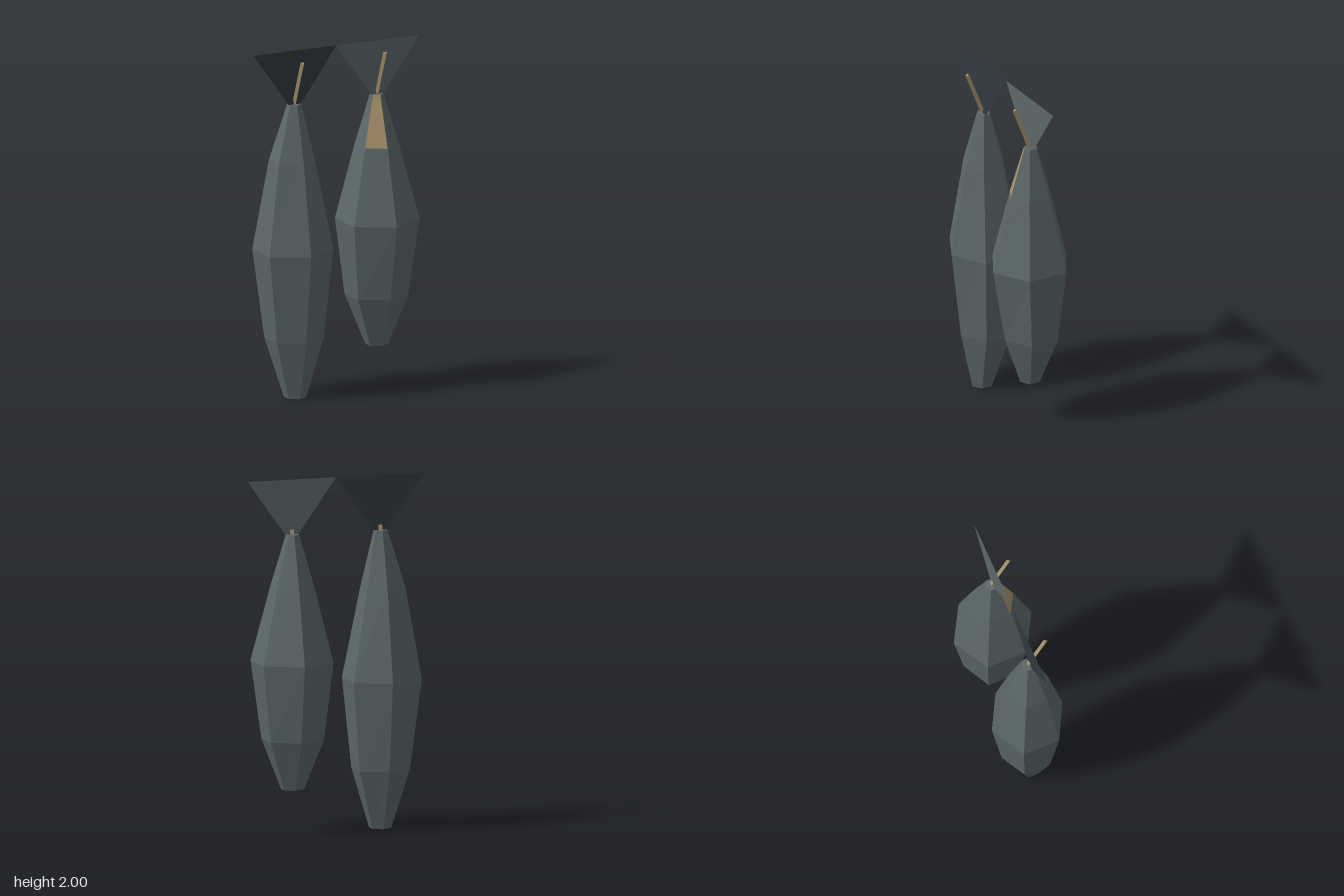
import * as THREE from 'three';

const slate = new THREE.MeshStandardMaterial({ color: 0x5c686a, flatShading: true });
slate.name = 'slate';
const tan = new THREE.MeshStandardMaterial({ color: 0xa89167, flatShading: true });
tan.name = 'tan';
const slateFin = new THREE.MeshStandardMaterial({ color: 0x5c686a, side: THREE.DoubleSide });
slateFin.name = 'slate fin';
const navyFin = new THREE.MeshStandardMaterial({ color: 0x313942, side: THREE.DoubleSide });
navyFin.name = 'dark navy fin';

// Hexagon with one corner forward; ring = [y, xLeft, xRight, zBack, zFront]
function hexRing([y, x0, x1, zb, zf], cx) {
  const cz = (zb + zf) / 2, q = (zf - zb) / 4;
  return [
    [cx, y, zf], [x1, y, cz + q], [x1, y, cz - q],
    [cx, y, zb], [x0, y, cz - q], [x0, y, cz + q],
  ];
}

// Faceted pod through the rings, bottom to top, with an optional coloured panel
function makePod(rings, cx, name, patchPanel = false) {
  const loops = rings.map((r) => hexRing(r, cx));
  const main = [], patch = [];
  for (let r = 0; r < loops.length - 1; r++) {
    for (let i = 0; i < 6; i++) {
      const j = (i + 1) % 6, a = loops[r], b = loops[r + 1];
      const isPatch = patchPanel && r === loops.length - 2 && i === 5;
      (isPatch ? patch : main).push(a[i], a[j], b[j], a[i], b[j], b[i]);
    }
  }
  const bottom = loops[0], top = loops[loops.length - 1];
  for (let i = 1; i < 5; i++) {
    main.push(top[0], top[i], top[i + 1], bottom[0], bottom[i + 1], bottom[i]);
  }
  const geometry = new THREE.BufferGeometry();
  geometry.setAttribute('position', new THREE.Float32BufferAttribute([...main, ...patch].flat(), 3));
  geometry.addGroup(0, main.length, 0);
  if (patch.length) geometry.addGroup(main.length, patch.length, 1);
  geometry.computeVertexNormals();
  const mesh = new THREE.Mesh(geometry, [slate, tan]);
  mesh.name = name;
  return mesh;
}

// Thin fan-shaped fin standing on the pod's top
function makeFin(cx, material, name) {
  const shape = new THREE.Shape([[-0.04, 1.69], [0.04, 1.69], [0.26, 2], [-0.26, 2]]
    .map(([x, y]) => new THREE.Vector2(cx + x, y)));
  const mesh = new THREE.Mesh(new THREE.ShapeGeometry(shape), material);
  mesh.name = name;
  return mesh;
}

// Three-sided stem leaning forward from the pod's top
function makeStem(cx, name) {
  const from = new THREE.Vector3(cx, 1.685, -0.006), to = new THREE.Vector3(cx, 1.95, 0.098);
  const dir = to.clone().sub(from);
  const mesh = new THREE.Mesh(new THREE.CylinderGeometry(0.013, 0.013, dir.length(), 3), tan);
  mesh.position.copy(from).add(to).multiplyScalar(0.5);
  mesh.quaternion.setFromUnitVectors(new THREE.Vector3(0, 1, 0), dir.normalize());
  mesh.name = name;
  return mesh;
}

export function createModel() {
  const group = new THREE.Group();
  group.name = 'hangingPods';

  const longPod = [
    [0, -0.315, -0.205, -0.06, 0.065],
    [0.34, -0.405, -0.11, -0.17, 0.14],
    [0.85, -0.465, -0.065, -0.23, 0.2],
    [1.37, -0.385, -0.16, -0.135, 0.11],
    [1.69, -0.295, -0.225, -0.045, 0.03],
  ];
  const shortPod = [
    [0.245, 0.2, 0.315, -0.065, 0.06],
    [0.53, 0.1, 0.415, -0.175, 0.16],
    [0.97, 0.053, 0.465, -0.237, 0.237],
    [1.4, 0.15, 0.365, -0.13, 0.125],
    [1.69, 0.225, 0.29, -0.045, 0.035],
  ];
  group.add(
    makePod(longPod, -0.26, 'longPod'),
    makePod(shortPod, 0.26, 'shortPod', true),
    makeFin(-0.26, navyFin, 'longPodFin'),
    makeFin(0.26, slateFin, 'shortPodFin'),
    makeStem(-0.26, 'longPodStem'),
    makeStem(0.26, 'shortPodStem'),
  );
  return group;
}
